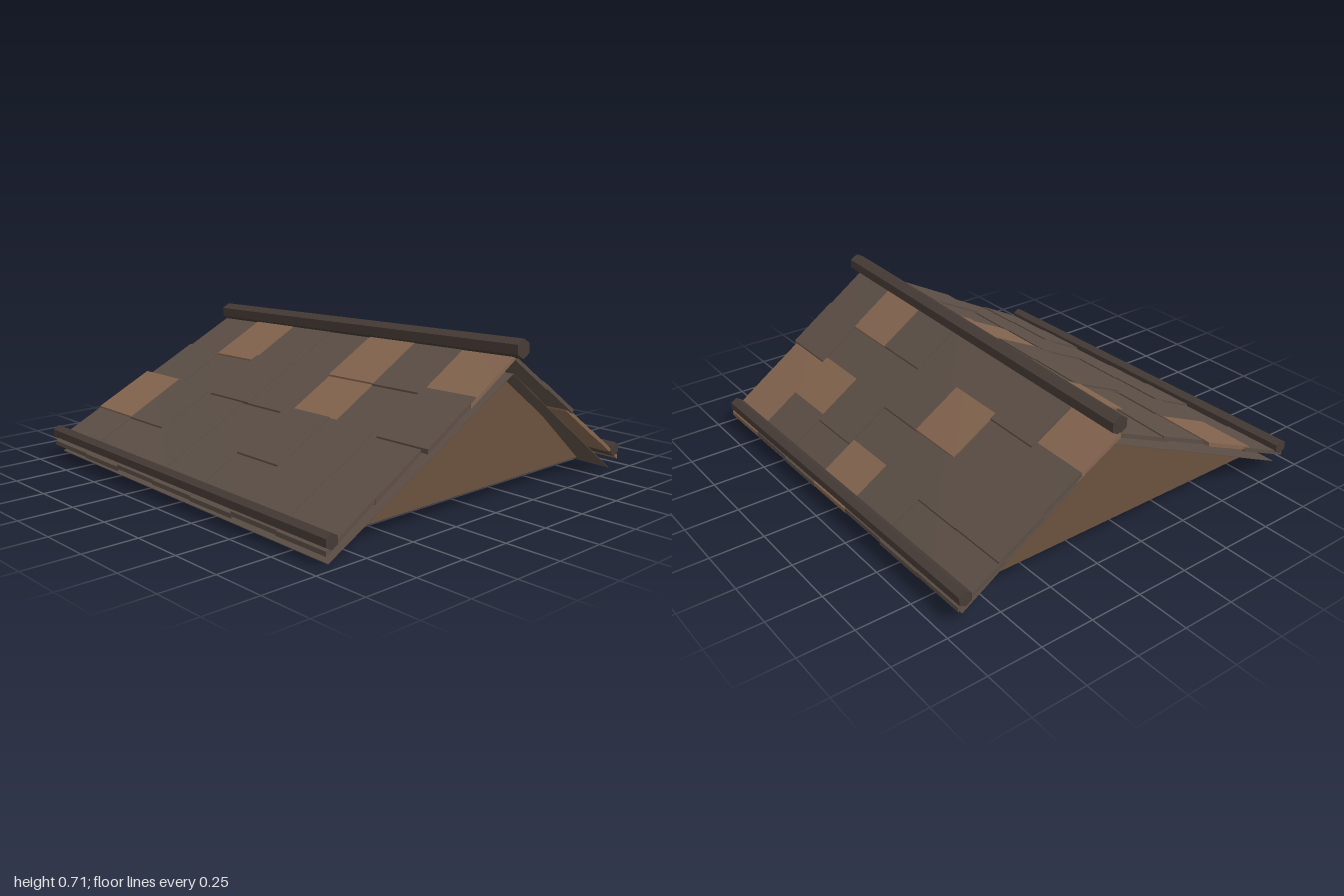
import * as THREE from 'three';

const RIDGE_X = 0.147;
const lerp = THREE.MathUtils.lerp;
const material = (color, flatShading = false) =>
  new THREE.MeshStandardMaterial({ color, flatShading, side: THREE.DoubleSide, roughness: 0.9 });

const darkTile = material(0x5c4f46);
const lightTile = material(0x84654f);
const beamWood = material(0x463b36, true);
const gableWood = material(0x6b513e);

// Height of a slope that sags towards the back: ridge and eave are [front, back]
function slopeY(x, z, edgeX, ridge, eave) {
  const k = (1 - z) / 2;
  const t = x < RIDGE_X ? (RIDGE_X - x) / (RIDGE_X + edgeX) : (x - RIDGE_X) / (edgeX - RIDGE_X);
  return lerp(lerp(ridge[0], ridge[1], k), lerp(eave[0], eave[1], k), t);
}
const tileY = (x, z) => slopeY(x, z, 0.927, [0.632, 0.572], [0.053, 0.08]);
const underlayY = (x, z) => slopeY(x, z, 0.897, [0.56, 0.51], [0.002, 0.036]);

// A thin slab laid on a slope: rule(x, z) gives the final [x, y, z]
function slab(name, mat, x0, x1, z0, z1, thickness, rule) {
  const geo = new THREE.BoxGeometry(1, 1, 1, 4, 1, 4);
  const p = geo.attributes.position;
  for (let i = 0; i < p.count; i++) {
    const [x, y, z] = rule(lerp(x0, x1, p.getX(i) + 0.5), lerp(z0, z1, p.getZ(i) + 0.5));
    p.setXYZ(i, x, y + p.getY(i) * thickness, z);
  }
  geo.computeVertexNormals();
  const mesh = new THREE.Mesh(geo, mat);
  mesh.name = name;
  return mesh;
}

// Hexagonal beam between two points, with a corner pointing up
function beam(name, radius, from, to) {
  const a = new THREE.Vector3(...from), b = new THREE.Vector3(...to);
  const geo = new THREE.CylinderGeometry(radius, radius, a.distanceTo(b), 6);
  geo.rotateX(Math.PI / 2);
  const mesh = new THREE.Mesh(geo, beamWood);
  mesh.name = name;
  mesh.position.copy(a).add(b).multiplyScalar(0.5);
  mesh.lookAt(b);
  return mesh;
}

function gable(name, z, apexY) {
  const shape = new THREE.Shape();
  shape.moveTo(-0.76, 0.06).lineTo(0.765, 0.06).lineTo(RIDGE_X, apexY).closePath();
  const mesh = new THREE.Mesh(new THREE.ShapeGeometry(shape), gableWood);
  mesh.name = name;
  mesh.position.z = z;
  return mesh;
}

// Seven rows along the ridge, four overlapping courses from ridge to eave
function tiles(side, shift, lightOnes) {
  const group = new THREE.Group();
  group.name = side > 0 ? 'leftTiles' : 'rightTiles';
  const span = side * 0.927 - RIDGE_X, overlap = span * 0.031;
  const step = (span - overlap) / 4, rowLength = 0.277;
  for (let row = 0; row < 7; row++) {
    for (let course = 0; course < 4; course++) {
      const upper = RIDGE_X + step * course;
      const lower = upper + step + overlap;
      const z0 = -0.97 + row * rowLength;
      // Each tile sits slightly higher or lower than its neighbours
      const lift = ((row * 5 + course * 3) % 7) * 0.002 - 0.006;
      const rule = (x, z) => {
        const t = (x - upper) / (lower - upper);
        return [x, tileY(x, z) + lift, z + shift[course] + (t - 0.5) * Math.abs(step) * 0.06];
      };
      const mat = lightOnes.includes(`${row}${course}`) ? lightTile : darkTile;
      group.add(slab('tile', mat, Math.min(upper, lower), Math.max(upper, lower),
        z0, z0 + rowLength + 0.004, 0.02, rule));
    }
  }
  return group;
}

export function createModel() {
  const model = new THREE.Group();
  model.name = 'gableRoof';

  // Tiled slopes
  model.add(tiles(-1, [-0.008, 0.003, -0.02, -0.008], ['02', '10', '41', '40', '60']));
  model.add(tiles(1, [-0.012, -0.002, -0.008, -0.004], ['00', '21', '33', '50', '52', '62', '63']));

  // Boards under the tiles
  const lay = (x, z) => [x, underlayY(x, z), z];
  model.add(slab('rightUnderlay', darkTile, -0.897, RIDGE_X, -0.95, 0.95, 0.003, lay));
  model.add(slab('leftUnderlay', darkTile, RIDGE_X, 0.897, -0.95, 0.95, 0.003, lay));

  // End walls
  model.add(gable('frontGable', 0.86, 0.6));
  model.add(gable('backGable', -0.86, 0.55));

  // Ridge and eave beams
  model.add(beam('ridgeBeam', 0.043, [RIDGE_X, 0.61, -0.98], [RIDGE_X, 0.671, 0.998]));
  for (const side of [-1, 1]) {
    model.add(beam(side > 0 ? 'leftEaveBeam' : 'rightEaveBeam', 0.034,
      [side * 0.9, 0.125, -0.98], [side * 0.9, 0.097, 0.975]));
  }
  return model;
}
